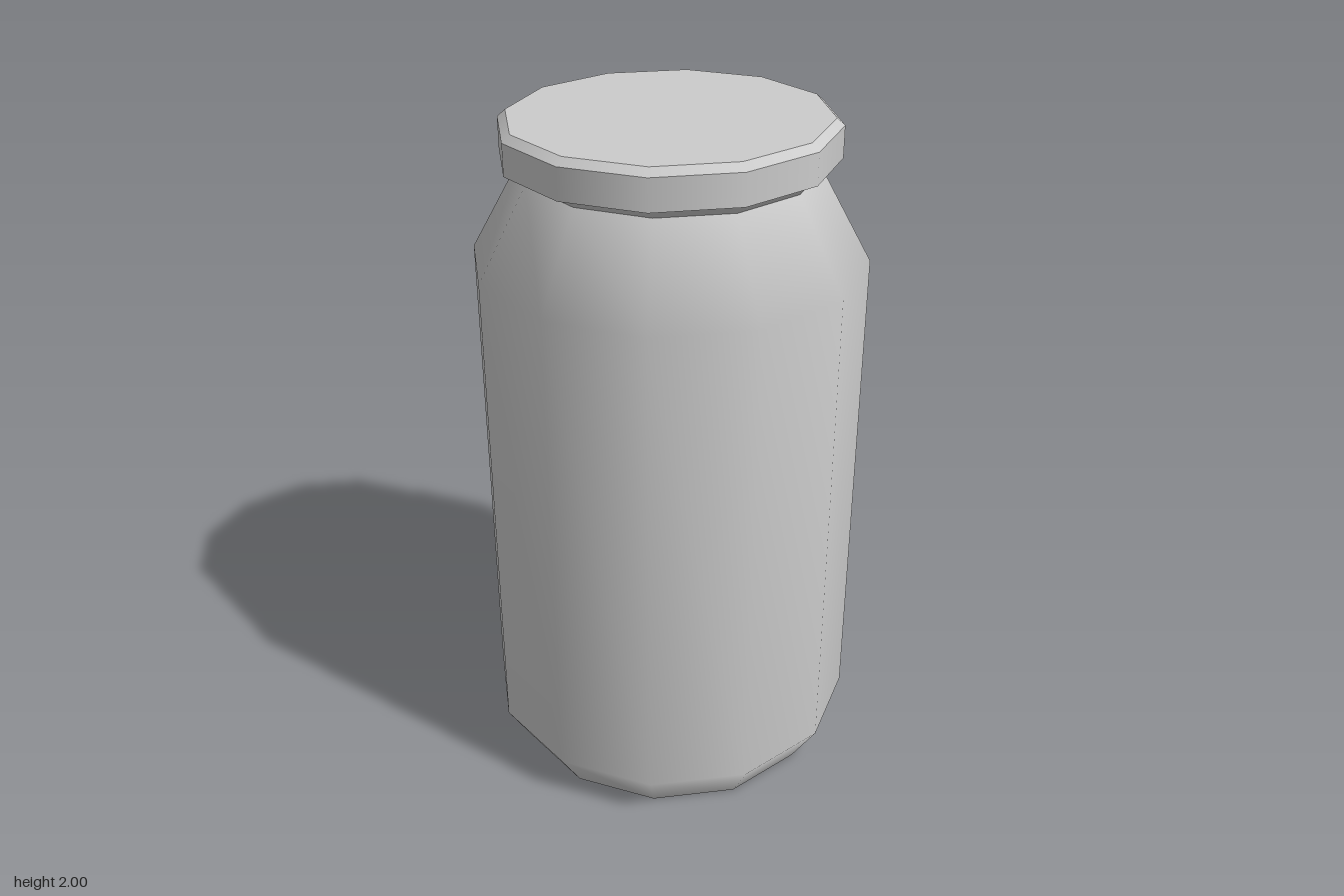
import * as THREE from 'three';
import { mergeGeometries } from 'three/addons/utils/BufferGeometryUtils.js';

const SIDES = 12;
const material = new THREE.MeshStandardMaterial({ color: 0xcccccc });

// Turns profiles of [radius, y] points; smooth within a profile, sharp between profiles.
function turned(name, ...profiles) {
  const parts = profiles.map((profile) =>
    new THREE.LatheGeometry(profile.map(([r, y]) => new THREE.Vector2(r, y)), SIDES));
  const mesh = new THREE.Mesh(mergeGeometries(parts), material);
  mesh.name = name;
  return mesh;
}

export function createModel() {
  const group = new THREE.Group();
  group.name = 'jar';

  // Body with bevelled foot, sloping shoulder and a lip that flares under the lid
  group.add(turned('body',
    [[0.48, 0], [0.56, 0.13], [0.56, 1.6], [0.415, 1.86]],
    [[0.415, 1.86], [0.44, 1.89]]));

  // Narrow standing rim and hollowed underside
  group.add(turned('base',
    [[0.445, 0], [0.48, 0]],
    [[0, 0.07], [0.38, 0.05], [0.445, 0]]));

  // Lid: underside, side wall, bevel and flat top
  const lid = turned('lid',
    [[0.41, 1.89], [0.473, 1.89]],
    [[0.473, 1.89], [0.473, 1.98]],
    [[0.473, 1.98], [0.45, 2]],
    [[0.45, 2], [0, 2]]);
  lid.scale.z = 0.968;
  group.add(lid);

  return group;
}
